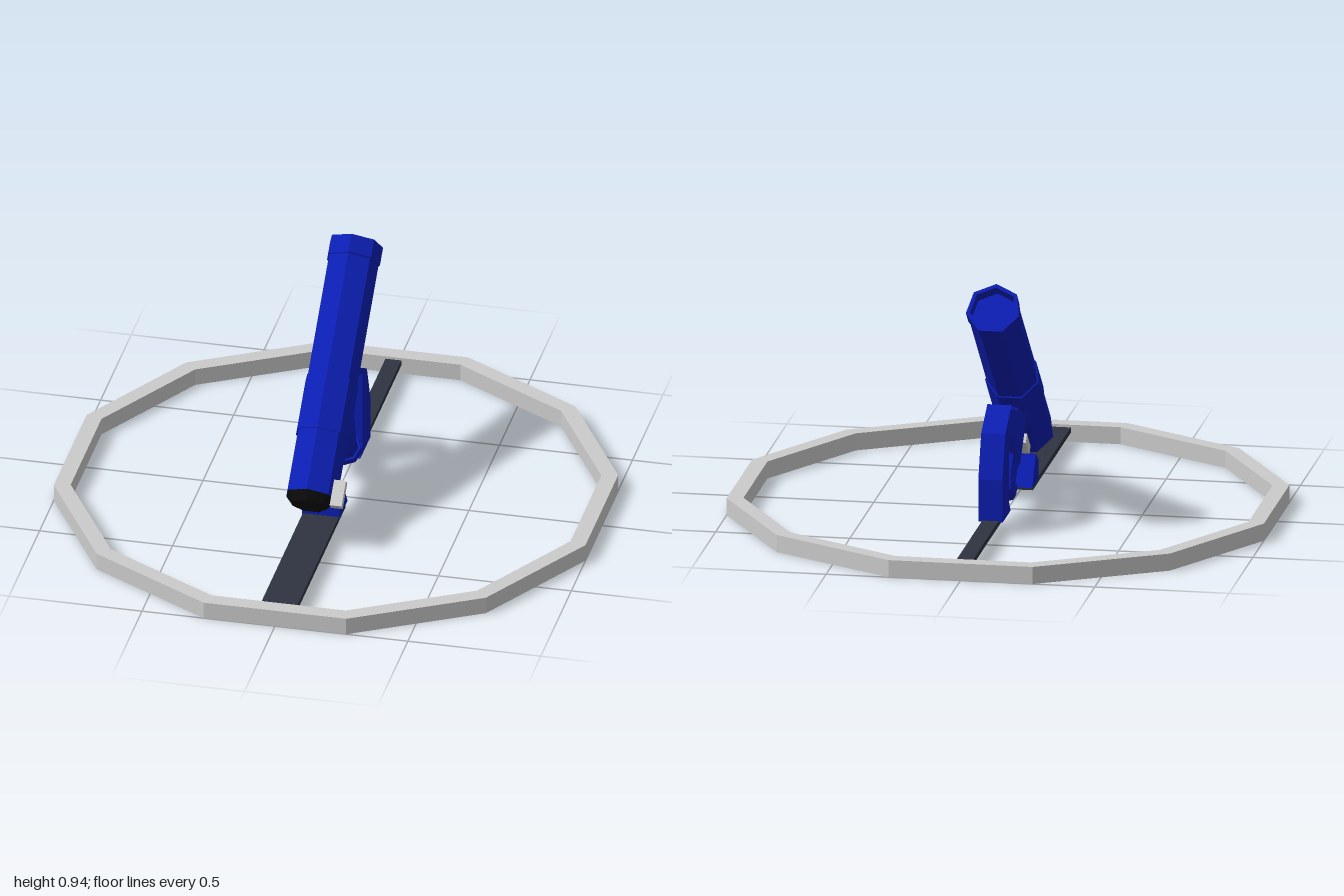
import * as THREE from 'three';

const mat = (color) => new THREE.MeshStandardMaterial({ color, flatShading: true, side: THREE.DoubleSide });

export function createModel() {
  const model = new THREE.Group();
  const grey = mat(0xcccccc), blue = mat(0x0c1eb4), plankMat = mat(0x2f3240), black = mat(0x0c0c0c);

  const add = (parent, name, geometry, material, x = 0, y = 0, z = 0) => {
    const mesh = new THREE.Mesh(geometry, material);
    mesh.name = name;
    mesh.position.set(x, y, z);
    parent.add(mesh);
    return mesh;
  };
  const toPoints = (list) => list.map(([a, b]) => new THREE.Vector2(a, b));

  // Twelve-sided base ring
  const dodecagon = (apothem) => Array.from({ length: 12 }, (_, i) => {
    const a = (i + 0.5) * Math.PI / 6, r = apothem / Math.cos(Math.PI / 12);
    return new THREE.Vector2(r * Math.cos(a), r * Math.sin(a));
  });
  const ringShape = new THREE.Shape(dodecagon(1));
  ringShape.holes.push(new THREE.Path(dodecagon(0.94)));
  const ringGeo = new THREE.ExtrudeGeometry(ringShape, { depth: 0.065, bevelEnabled: false });
  add(model, 'baseRing', ringGeo.rotateX(-Math.PI / 2), grey);

  // Planks from the ring to the two piers
  add(model, 'frontPlank', new THREE.BoxGeometry(0.135, 0.02, 0.8), plankMat, 0, 0.045, 0.54);
  add(model, 'rearPlank', new THREE.BoxGeometry(0.06, 0.02, 0.72), plankMat, 0, 0.045, -0.58);

  // Piers: (z, y) outlines extruded across x
  const pier = (name, outline, width) => {
    const geo = new THREE.ExtrudeGeometry(new THREE.Shape(toPoints(outline)), { depth: width, bevelEnabled: false });
    geo.translate(0, 0, -width / 2).rotateY(-Math.PI / 2);
    add(model, name, geo, blue);
  };
  pier('frontPier', [[0.25, 0.05], [0.25, 0.12], [0.19, 0.16], [0.115, 0.05]], 0.14);
  pier('rearPier', [[-0.2, 0.05], [-0.235, 0.095], [-0.235, 0.385], [-0.2, 0.42], [-0.18, 0.445],
    [-0.31, 0.37], [-0.37, 0.21], [-0.37, 0.05]], 0.09);

  // Tilted assembly: local +y runs up the tube, local +z is the tube's upper side
  const tilted = new THREE.Group();
  tilted.name = 'tiltedAssembly';
  tilted.position.set(0, 0.196, 0.373);
  tilted.rotation.x = THREE.MathUtils.degToRad(-48);
  model.add(tilted);

  // Seven-sided telescope tube with rear cap, clamp band and open hood
  const tube = new THREE.Group();
  tube.name = 'telescopeTube';
  tube.position.x = -0.01;
  tilted.add(tube);
  const section = (name, r0, r1, y0, y1, material = blue) =>
    add(tube, name, new THREE.CylinderGeometry(r1, r0, y1 - y0, 7), material, 0, (y0 + y1) / 2, 0);
  section('rearCap', 0.065, 0.097, -0.035, 0, black);
  section('mainTube', 0.097, 0.097, 0, 0.94);
  section('clampBand', 0.102, 0.102, 0.24, 0.45);
  const hood = toPoints([[0.097, 0.92], [0.102, 0.925], [0.102, 0.994], [0.087, 0.994], [0.087, 0.945]]);
  add(tube, 'hood', new THREE.LatheGeometry(hood, 7), blue);

  // Finder beside the tube and eyepiece box beneath it
  add(tilted, 'finder', new THREE.BoxGeometry(0.045, 0.1, 0.03), grey, 0.095, 0.017, 0.02);
  add(tilted, 'eyepieceBox', new THREE.BoxGeometry(0.05, 0.1, 0.05), grey, -0.01, 0.1, -0.1);

  // Yoke: two mirrored four-sided tapers along the polar axis
  const yoke = new THREE.Group();
  yoke.name = 'yoke';
  yoke.position.set(0, 0.337, -0.197);
  tilted.add(yoke);
  for (const flip of [0, Math.PI]) {
    const taper = new THREE.CylinderGeometry(0.012, 0.141, 0.24, 4).rotateY(Math.PI / 4);
    taper.scale(0.6, 1, 1).translate(0, 0.12, 0).rotateX(flip);
    add(yoke, 'yokeArm', taper, blue);
  }

  // Cross shaft holding the tube on one end and the counterweight on the other
  const crossPart = (name, r, z0, z1) =>
    add(yoke, name, new THREE.CylinderGeometry(r, r, z1 - z0, 8).rotateX(Math.PI / 2), blue, 0, 0, (z0 + z1) / 2);
  crossPart('crossShaft', 0.045, -0.12, 0.13);
  crossPart('counterweight', 0.052, -0.21, -0.08);
  crossPart('counterweightFlange', 0.06, -0.235, -0.195);

  return model;
}
